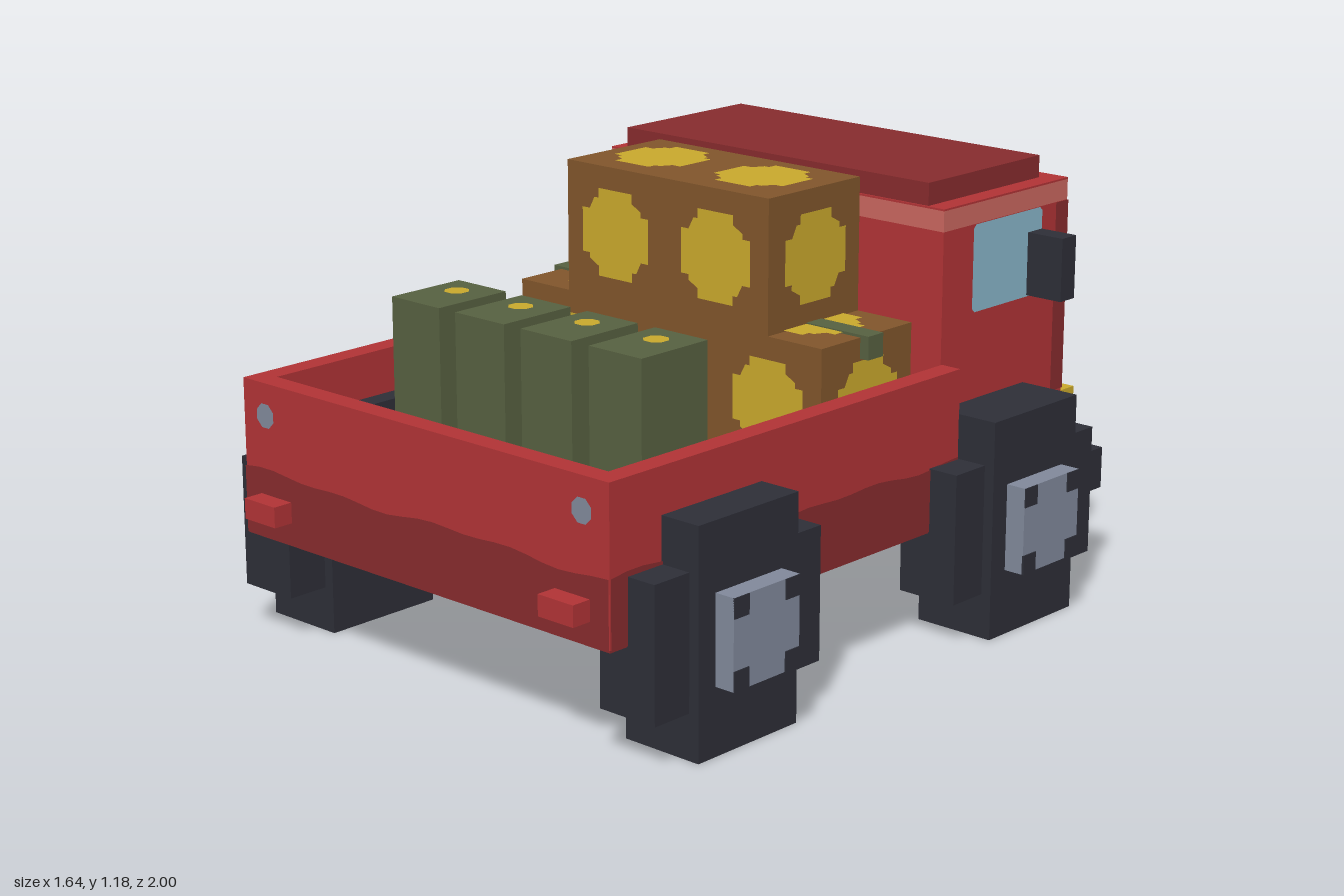
import * as THREE from 'three';

const mat = (name, color) => {
  const m = new THREE.MeshStandardMaterial({ color });
  m.name = name;
  return m;
};

export function createModel() {
  const red = mat('red paint', 0xb03335);
  const darkRed = mat('dark red', 0x862b2d);
  const salmon = mat('pale red trim', 0xc9665e);
  const brown = mat('brown crate', 0x80552b);
  const yellow = mat('yellow', 0xc8a82c);
  const green = mat('olive green', 0x566040);
  const black = mat('black rubber', 0x2d2e37);
  const grey = mat('grey metal', 0x80889a);
  const glass = mat('blue glass', 0x88b5c8);

  const truck = new THREE.Group();
  truck.name = 'pickupTruck';

  // Box from minimum to maximum on each axis
  const box = (name, m, [x0, x1], [y0, y1], [z0, z1], parent = truck) => {
    const mesh = new THREE.Mesh(new THREE.BoxGeometry(x1 - x0, y1 - y0, z1 - z0), m);
    mesh.position.set((x0 + x1) / 2, (y0 + y1) / 2, (z0 + z1) / 2);
    mesh.name = name;
    parent.add(mesh);
    return mesh;
  };
  // The same box on both sides, given for +x
  const pair = (name, m, [x0, x1], y, z) => {
    box('left' + name, m, [x0, x1], y, z);
    box('right' + name, m, [-x1, -x0], y, z);
  };
  // Flat painted detail lying just off a face
  const turns = {
    '+z': [0, 0], '-z': [0, Math.PI], '+x': [0, Math.PI / 2], '-x': [0, -Math.PI / 2], '+y': [-Math.PI / 2, 0],
  };
  const decal = (name, m, shape, face, x, y, z) => {
    const mesh = new THREE.Mesh(new THREE.ShapeGeometry(shape), m);
    mesh.rotation.set(...turns[face], 0);
    mesh.position.set(x, y, z);
    mesh.translateZ(0.004);
    mesh.name = name;
    truck.add(mesh);
  };
  const shapeOf = (pts) => new THREE.Shape(pts.map(([x, y]) => new THREE.Vector2(x, y)));
  const rect = (w, h) => shapeOf([[-w, -h], [w, -h], [w, h], [-w, h]]);
  // Stepped cross with four-fold symmetry
  const quarter = [[0.118, -0.06], [0.118, 0.06], [0.092, 0.06], [0.092, 0.075], [0.06, 0.092]];
  const crossPts = [];
  for (let i = 0; i < 4; i++) {
    const c = [1, 0, -1, 0][i], s = [0, 1, 0, -1][i];
    quarter.forEach(([x, y]) => crossPts.push([x * c - y * s, x * s + y * c]));
  }
  const blob = shapeOf(crossPts);
  const dotPts = Array.from({ length: 8 }, (_, i) => {
    const a = (i + 0.5) * Math.PI / 4;
    return [0.034 * Math.cos(a), 0.034 * Math.sin(a)];
  });
  const dot = shapeOf(dotPts);

  // Load bed
  box('bedFloor', darkRed, [-0.585, 0.585], [0.302, 0.355], [-0.35, 0.88]);
  pair('BedWall', red, [0.585, 0.645], [0.302, 0.71], [-0.355, 0.94]);
  box('tailgate', red, [-0.585, 0.585], [0.302, 0.71], [0.88, 0.94]);
  box('bedUnderside', darkRed, [-0.645, 0.645], [0.296, 0.302], [-0.355, 0.94]);

  // Mud band with an uneven upper edge
  const band = (half) => {
    const pts = [[-half, -0.175], [half, -0.175]];
    for (let i = 0; i <= 24; i++) {
      const u = half - (i / 24) * 2 * half;
      pts.push([u, 0.006 * Math.sin(u * 9) + 0.005 * Math.sin(u * 21 + 1)]);
    }
    return shapeOf(pts);
  };
  decal('tailgateMudBand', darkRed, band(0.645), '+z', 0, 0.475, 0.94);
  decal('leftMudBand', darkRed, band(0.645), '+x', 0.645, 0.475, 0.295);
  decal('rightMudBand', darkRed, band(0.645), '-x', -0.645, 0.475, 0.295);

  // Tailgate fittings
  pair('TailLight', red, [0.47, 0.585], [0.36, 0.415], [0.94, 1.0]);
  for (const s of [-1, 1]) decal('tailgateBolt', grey, dot, '+z', s * 0.56, 0.625, 0.94);

  // Cab
  box('cab', red, [-0.585, 0.585], [0.302, 1.06], [-0.88, -0.35]);
  box('cabUnderside', darkRed, [-0.585, 0.585], [0.296, 0.302], [-0.88, -0.355]);
  box('cabTrim', salmon, [-0.585, 0.585], [1.06, 1.115], [-0.88, -0.35]);
  box('cabTop', red, [-0.585, 0.585], [1.115, 1.12], [-0.88, -0.35]);
  box('roof', darkRed, [-0.53, 0.53], [1.12, 1.18], [-0.825, -0.355]);
  box('windshield', glass, [-0.47, 0.47], [0.71, 1.06], [-0.94, -0.88]);
  box('windshieldBar', black, [-0.03, 0.03], [0.71, 1.06], [-0.97, -0.94]);
  pair('Headlight', yellow, [0.47, 0.585], [0.415, 0.53], [-0.94, -0.88]);
  box('bumper', black, [-0.645, 0.645], [0.24, 0.355], [-1.0, -0.945]);
  pair('Mirror', black, [0.585, 0.7], [0.83, 1.0], [-0.765, -0.705]);

  // Side windows with clipped corners, and dark front pillars
  const w = 0.147, h = 0.117, c = 0.01;
  const pane = shapeOf([[-w + c, -h], [w - c, -h], [w, -h + c], [w, h - c], [w - c, h], [-w + c, h], [-w, h - c], [-w, -h + c]]);
  for (const [s, face] of [[1, '+x'], [-1, '-x']]) {
    decal('sideWindow', glass, pane, face, s * 0.585, 0.943, -0.618);
    decal('frontPillar', darkRed, rect(0.027, 0.26), face, s * 0.585, 0.8, -0.853);
  }

  // Grille slots
  const slot = shapeOf([[-0.02, -0.085], [0.02, -0.085], [0.034, -0.06], [0.034, -0.02], [0.028, 0.07],
    [0.015, 0.085], [-0.015, 0.085], [-0.028, 0.07], [-0.034, -0.02], [-0.034, -0.06]]);
  for (let i = 0; i < 6; i++) decal('grilleSlot', darkRed, slot, '-z', -0.31 + i * 0.124, 0.535, -0.88);

  // Wheels: a tall and a long block with a square hub
  for (const s of [-1, 1]) {
    for (const z of [-0.53, 0.59]) {
      const wheel = new THREE.Group();
      wheel.name = (z < 0 ? 'cabEnd' : 'bedEnd') + (s > 0 ? 'Left' : 'Right') + 'Wheel';
      wheel.position.set(s * 0.645, 0.295, z);
      truck.add(wheel);
      box('tyreTall', black, [-0.117, 0.117], [-0.295, 0.295], [-0.176, 0.176], wheel);
      box('tyreLong', black, [-0.088, 0.088], [-0.175, 0.175], [-0.294, 0.294], wheel);
      const hubX = s > 0 ? [0.117, 0.174] : [-0.174, -0.117];
      box('hub', grey, hubX, [-0.117, 0.117], [-0.117, 0.117], wheel);
      for (const a of [-1, 1]) {
        for (const b of [-1, 1]) {
          const spot = box('hubCorner', black, [-0.003, 0.003], [-0.026, 0.026], [-0.026, 0.026], wheel);
          spot.position.set(s * 0.174, a * 0.091, b * 0.091);
        }
      }
    }
  }

  // Crates with yellow patches on every exposed face
  const crate = (name, half, y0, y1, xs) => {
    const y = (y0 + y1) / 2;
    box(name, brown, [-half, half], [y0, y1], [-0.295, 0.06]);
    for (const x of xs) {
      decal(name + 'Patch', yellow, blob, '+z', x, y, 0.06);
      decal(name + 'Patch', yellow, blob, '-z', x, y, -0.295);
      decal(name + 'Patch', yellow, blob, '+y', x, y1, -0.118);
    }
    decal(name + 'Patch', yellow, blob, '+x', half, y, -0.118);
    decal(name + 'Patch', yellow, blob, '-x', -half, y, -0.118);
  };
  crate('lowerCrate', 0.53, 0.47, 0.825, [-0.355, 0, 0.355]);
  crate('upperCrate', 0.352, 0.825, 1.18, [-0.176, 0.176]);
  box('crateBase', brown, [-0.53, 0.53], [0.355, 0.47], [-0.295, 0.06]);
  box('crateStrap', green, [-0.557, 0.557], [0.77, 0.832], [-0.148, -0.09]);

  // Fuel cans on a dark tray
  box('canTray', black, [-0.53, 0.53], [0.355, 0.53], [0.29, 0.705]);
  for (let i = 0; i < 4; i++) {
    const x = -0.382 + i * 0.235;
    box('fuelCan', green, [x - 0.088, x + 0.088], [0.53, 0.885], [0.35, 0.585]);
    decal('fuelCanCap', yellow, dot, '+y', x, 0.885, 0.44);
  }
  return truck;
}
